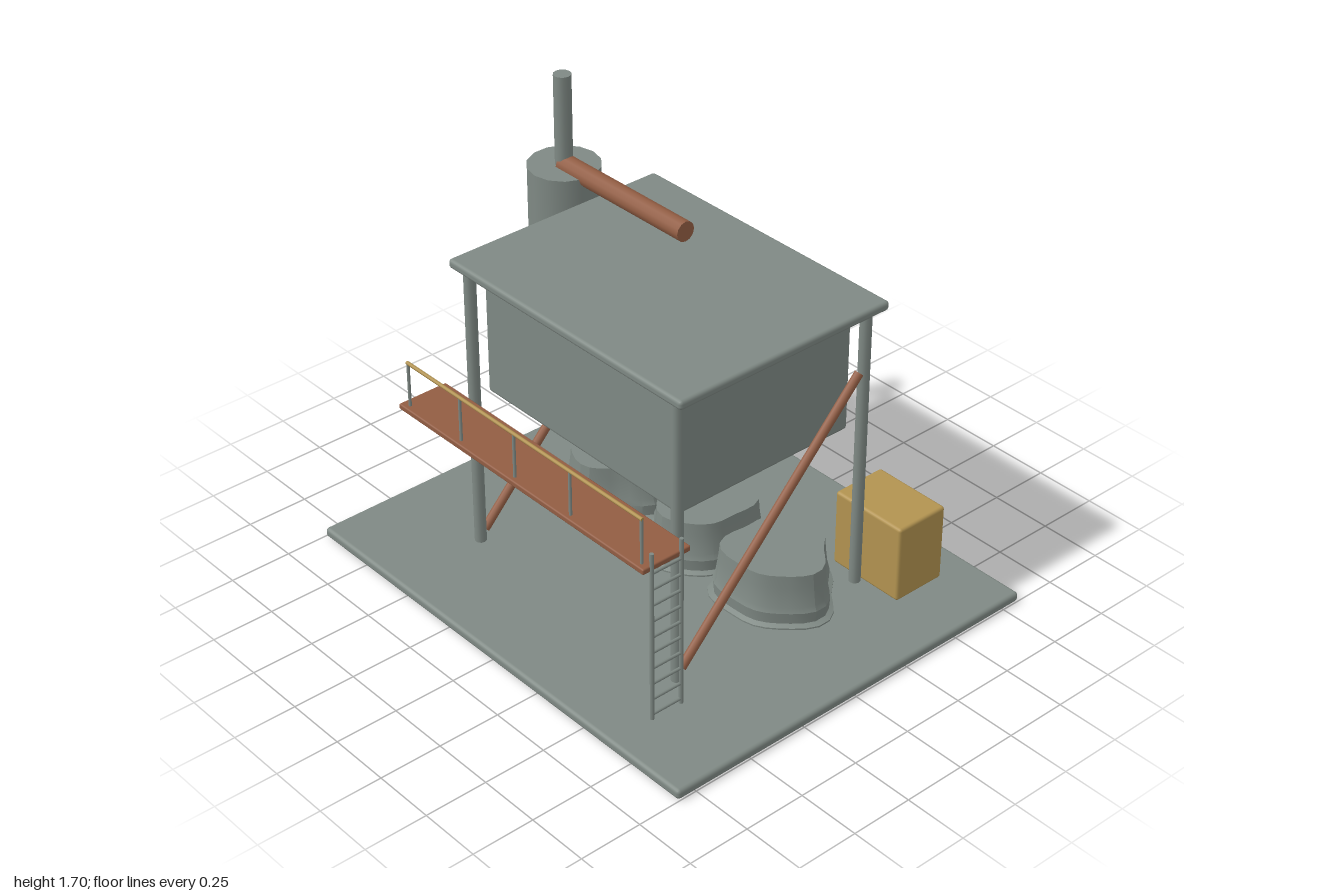
import * as THREE from 'three';
import { toCreasedNormals } from 'three/addons/utils/BufferGeometryUtils.js';
import { RoundedBoxGeometry } from 'three/addons/geometries/RoundedBoxGeometry.js';

export function createModel() {
  const model = new THREE.Group();
  model.name = 'industrialHopper';

  const paint = (name, color) => {
    const m = new THREE.MeshStandardMaterial({ color });
    m.name = name;
    return m;
  };
  const steel = paint('greySteel', 0x7f8984);
  const rust = paint('rustBrown', 0x925d43);
  const ochre = paint('ochre', 0xb29350);

  const add = (name, geometry, material, parent = model) => {
    const mesh = new THREE.Mesh(geometry, material);
    mesh.name = name;
    parent.add(mesh);
    return mesh;
  };
  const group = (name) => {
    const g = new THREE.Group();
    g.name = name;
    model.add(g);
    return g;
  };
  // Box given by its low and high corners
  const block = (name, lo, hi, radius, material, parent) => {
    const s = hi.map((v, i) => v - lo[i]);
    const mesh = add(name, new RoundedBoxGeometry(s[0], s[1], s[2], 2, radius), material, parent);
    mesh.position.set(...hi.map((v, i) => (v + lo[i]) / 2));
    return mesh;
  };
  // Round bar between two points
  const bar = (name, from, to, radius, material, parent, sides = 10) => {
    const a = new THREE.Vector3(...from);
    const b = new THREE.Vector3(...to);
    const dir = b.clone().sub(a);
    const mesh = add(name, new THREE.CylinderGeometry(radius, radius, dir.length(), sides), material, parent);
    mesh.position.copy(a).add(b).multiplyScalar(0.5);
    mesh.quaternion.setFromUnitVectors(new THREE.Vector3(0, 1, 0), dir.normalize());
    return mesh;
  };

  // Ground slab
  block('baseSlab', [-1, 0, -0.83], [1, 0.04, 0.83], 0.015, steel);

  // Frame: four posts, two diagonal braces, roof
  const frame = group('frame');
  for (const x of [-0.553, 0.55]) {
    for (const z of [0.437, -0.433]) bar('post', [x, 0.03, z], [x, 1.22, z], 0.023, steel, frame, 12);
    bar('diagonalBrace', [x, 0.08, 0.415], [x, 0.95, -0.41], 0.018, rust, frame);
  }
  block('roof', [-0.617, 1.208, -0.482], [0.615, 1.245, 0.482], 0.014, steel, frame);

  // Hanging hopper
  block('hopper', [-0.52, 0.703, -0.4], [0.515, 1.203, 0.4], 0.015, steel);

  // Tank with chimney and side pipe
  const tank = group('tankAssembly');
  const tx = -0.755, tz = -0.167;
  bar('tank', [tx, 0.27, tz], [tx, 1.335, tz], 0.14, steel, tank, 14);
  bar('chimney', [tx, 1.32, tz], [tx, 1.7, tz], 0.034, steel, tank, 12);
  bar('sidePipe', [tx, 1.335, tz], [-0.088, 1.335, tz], 0.04, rust, tank, 12);

  // Walkway with railing
  const walkway = group('walkway');
  block('walkwayDeck', [-0.67, 0.677, 0.478], [0.665, 0.7, 0.69], 0.006, rust, walkway);
  bar('handRail', [-0.637, 0.88, 0.667], [0.637, 0.88, 0.667], 0.007, ochre, walkway, 8);
  for (const x of [-0.632, -0.335, -0.035, 0.265, 0.632]) {
    bar('railPost', [x, 0.69, 0.667], [x, 0.88, 0.667], 0.006, steel, walkway, 8);
  }

  // Ladder
  const ladder = group('ladder');
  for (const z of [0.52, 0.652]) bar('ladderRail', [0.665, 0.05, z], [0.665, 0.75, z], 0.008, steel, ladder, 8);
  for (let i = 0; i < 10; i++) {
    const y = 0.07 + i * 0.0665;
    bar('ladderRung', [0.665, y, 0.52], [0.665, y, 0.652], 0.006, steel, ladder, 8);
  }

  // Crate
  block('crate', [0.415, 0.038, -0.685], [0.745, 0.355, -0.455], 0.012, ochre);

  // Lobed heaps: a turned profile whose radius swells and shrinks around the axis
  const profile = [[0.19, 0.036], [0.222, 0.041], [0.222, 0.047], [0.203, 0.055], [0.206, 0.1],
    [0.198, 0.12], [0.188, 0.2], [0.184, 0.25], [0, 0.25]].map((p) => new THREE.Vector2(...p));
  const heap = (x, z, phase, size) => {
    const geo = new THREE.LatheGeometry(profile, 30);
    const pos = geo.attributes.position;
    for (let i = 0; i < pos.count; i++) {
      const px = pos.getX(i), pz = pos.getZ(i);
      const a = Math.atan2(pz, px);
      const k = size * (1 + 0.085 * Math.cos(3 * a + phase) + 0.045 * Math.cos(5 * a - phase));
      pos.setX(i, px * k);
      pos.setZ(i, pz * k);
    }
    add('heap', toCreasedNormals(geo, 0.4), steel, heaps).position.set(x, 0, z);
  };
  const heaps = group('heaps');
  heap(-0.45, -0.165, 0.6, 1);
  heap(0.005, -0.175, 2.4, 1);
  heap(0.42, -0.165, -0.5, 1.02);

  return model;
}
